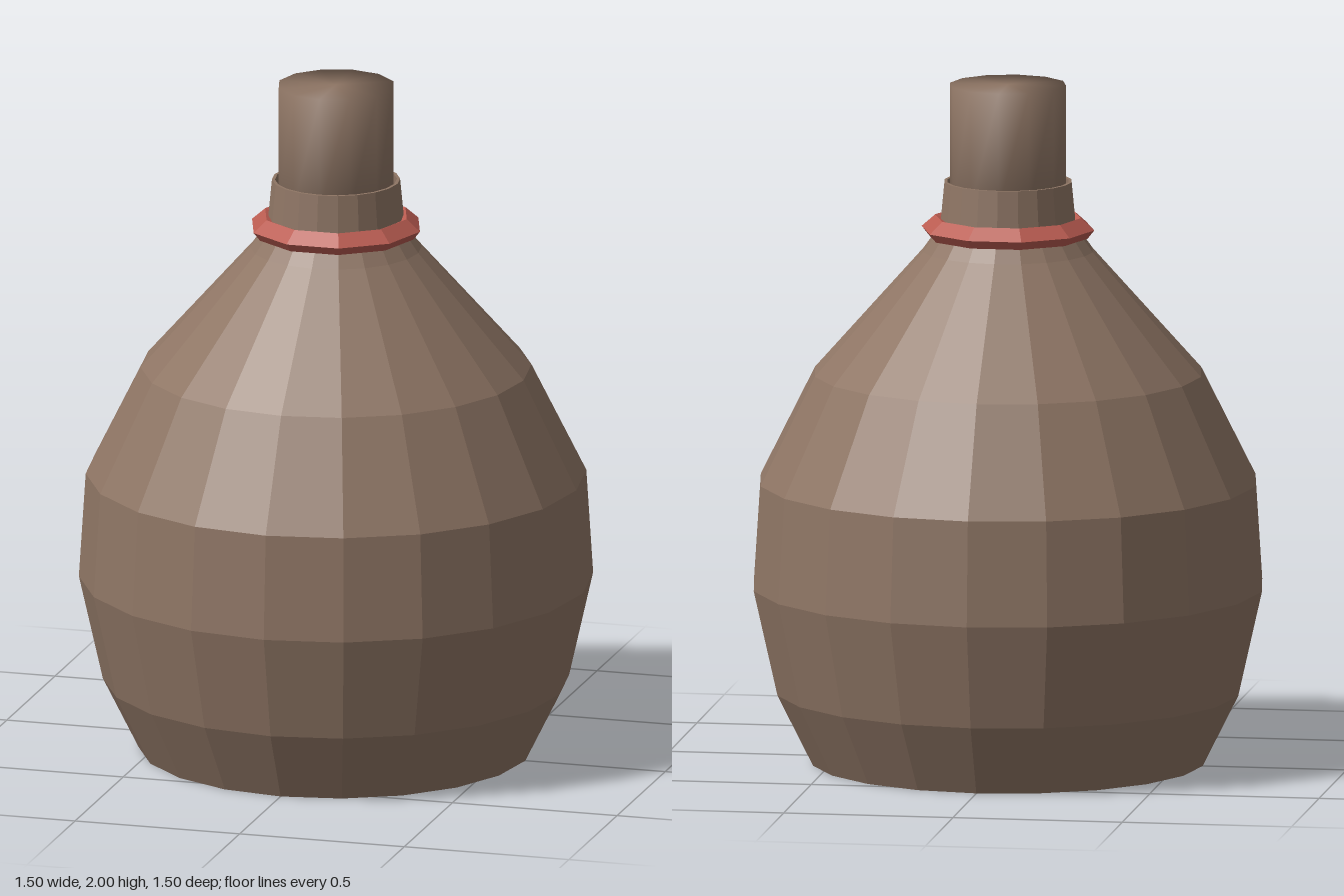
import * as THREE from 'three';
import { mergeVertices } from 'three/addons/utils/BufferGeometryUtils.js';

// Faceted solid of revolution from [radius, height] pairs
function facetedLathe(profile, sides) {
  const points = profile.map(([r, y]) => new THREE.Vector2(r, y));
  const geometry = new THREE.LatheGeometry(points, sides, Math.PI / 2).toNonIndexed();
  geometry.computeVertexNormals();
  return geometry;
}

export function createModel() {
  const clay = new THREE.MeshStandardMaterial({ color: 0x8e7564 });
  clay.name = 'brown clay';
  const red = new THREE.MeshStandardMaterial({ color: 0xba5c51 });
  red.name = 'red cord';

  const model = new THREE.Group();
  model.name = 'jug';
  const add = (name, geometry, material) => {
    const mesh = new THREE.Mesh(geometry, material);
    mesh.name = name;
    model.add(mesh);
    return mesh;
  };

  // Bulbous body, neck, thin lip and the inside of the mouth
  add('body', facetedLathe([
    [0, 0], [0.575, 0], [0.68, 0.21], [0.75, 0.52], [0.73, 0.83],
    [0.57, 1.15], [0.25, 1.51], [0.2, 1.58], [0.187, 1.715],
    [0.178, 1.715], [0.178, 1.63], [0, 1.63],
  ], 20), clay);

  // Ten-sided ring tied round the neck
  add('neckRing', facetedLathe([
    [0.19, 1.555], [0.235, 1.55], [0.255, 1.575], [0.215, 1.61],
    [0.19, 1.6], [0.19, 1.555],
  ], 10), red);

  // Stopper with normals smoothed over its rims
  const raw = new THREE.CylinderGeometry(0.172, 0.172, 0.34, 12);
  raw.deleteAttribute('normal');
  raw.deleteAttribute('uv');
  const stopper = mergeVertices(raw);
  stopper.computeVertexNormals();
  add('stopper', stopper, clay).position.y = 1.83;

  return model;
}
